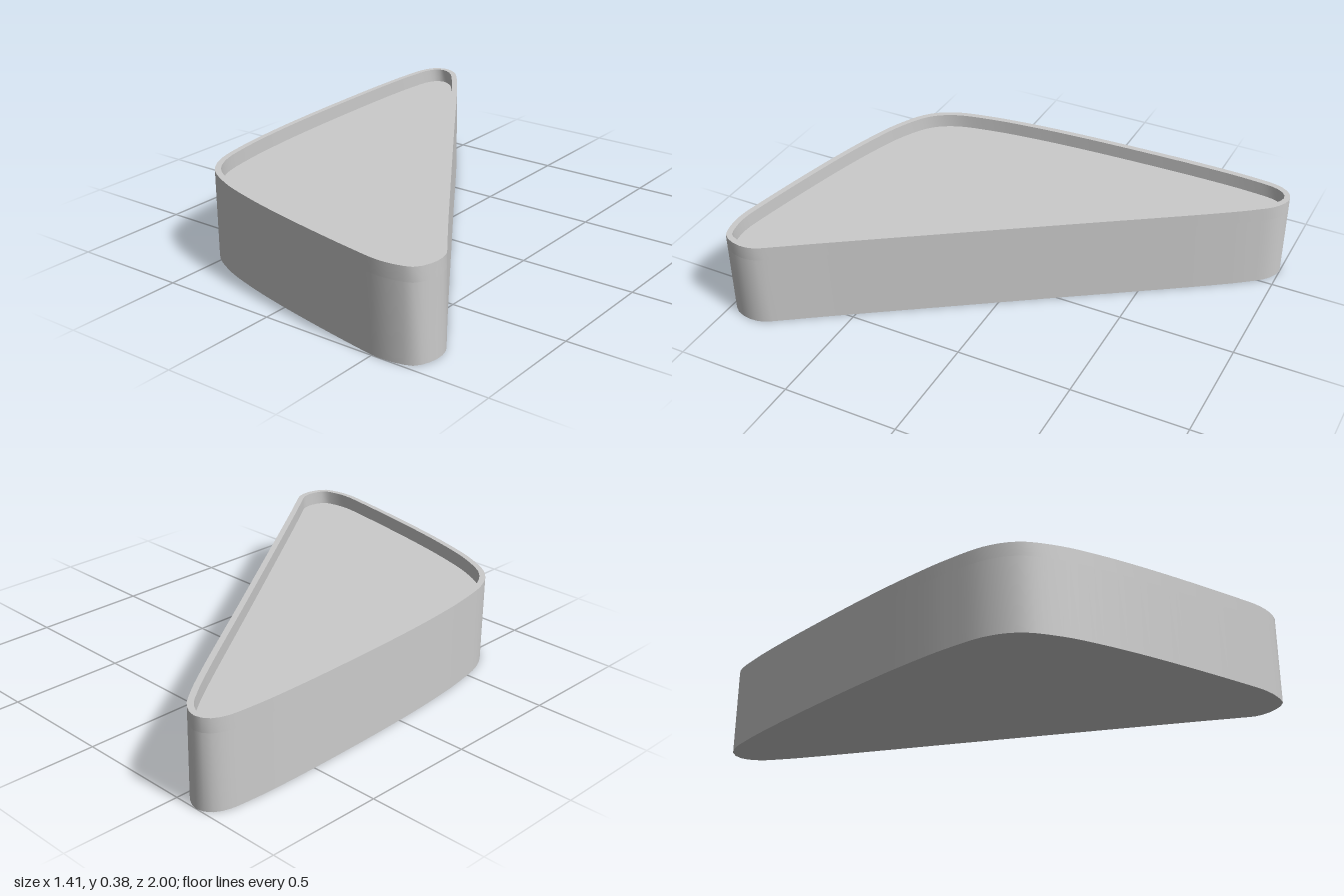
import * as THREE from 'three';
import { toCreasedNormals } from 'three/addons/utils/BufferGeometryUtils.js';

const HEIGHT = 0.38, RECESS = 0.06, RIM = 0.025;

// Plan outline as (x, z), from the back tip along the left-hand edge and round
const PLAN = [
  [-0.605, -1], [-0.655, -0.98], [-0.685, -0.93], [-0.7, -0.8], [-0.704, -0.6], [-0.698, -0.3],
  [-0.685, 0], [-0.67, 0.2], [-0.643, 0.42], [-0.6, 0.6], [-0.53, 0.705], [-0.395, 0.785],
  [-0.235, 0.84], [0, 0.9], [0.4, 0.98], [0.53, 0.999], [0.61, 0.992], [0.672, 0.968],
  [0.703, 0.89], [0.695, 0.82], [0.66, 0.765], [0.56, 0.62], [0, -0.208], [-0.375, -0.765],
  [-0.465, -0.89], [-0.535, -0.97],
];

// Smooth closed outline, moved inwards along its normal by inset
function outline(inset) {
  const curve = new THREE.CatmullRomCurve3(
    PLAN.map(([x, z]) => new THREE.Vector3(x, z, 0)), true, 'centripetal');
  const points = [];
  for (let i = 0; i < 160; i++) {
    const p = curve.getPointAt(i / 160), t = curve.getTangentAt(i / 160);
    points.push(new THREE.Vector2(p.x + t.y * inset, p.y - t.x * inset));
  }
  return points;
}

// Extrude a plan shape upwards from y0 to y1
function slab(name, shape, y0, y1, material) {
  const geometry = new THREE.ExtrudeGeometry(shape, { depth: y1 - y0, bevelEnabled: false });
  geometry.rotateX(Math.PI / 2).translate(0, y1, 0);
  const mesh = new THREE.Mesh(toCreasedNormals(geometry, 0.6), material);
  mesh.name = name;
  return mesh;
}

export function createModel() {
  const group = new THREE.Group();
  group.name = 'roundedTriangularTray';
  const material = new THREE.MeshStandardMaterial({ color: 0xcccccc });

  // Solid body up to the recessed floor
  const floorY = HEIGHT - RECESS;
  group.add(slab('body', new THREE.Shape(outline(0)), 0, floorY, material));

  // Thin raised lip; the hole winds the other way so its wall faces inwards
  const lip = new THREE.Shape(outline(0));
  lip.holes.push(new THREE.Path(outline(RIM).reverse()));
  group.add(slab('rim', lip, floorY, HEIGHT, material));

  return group;
}
